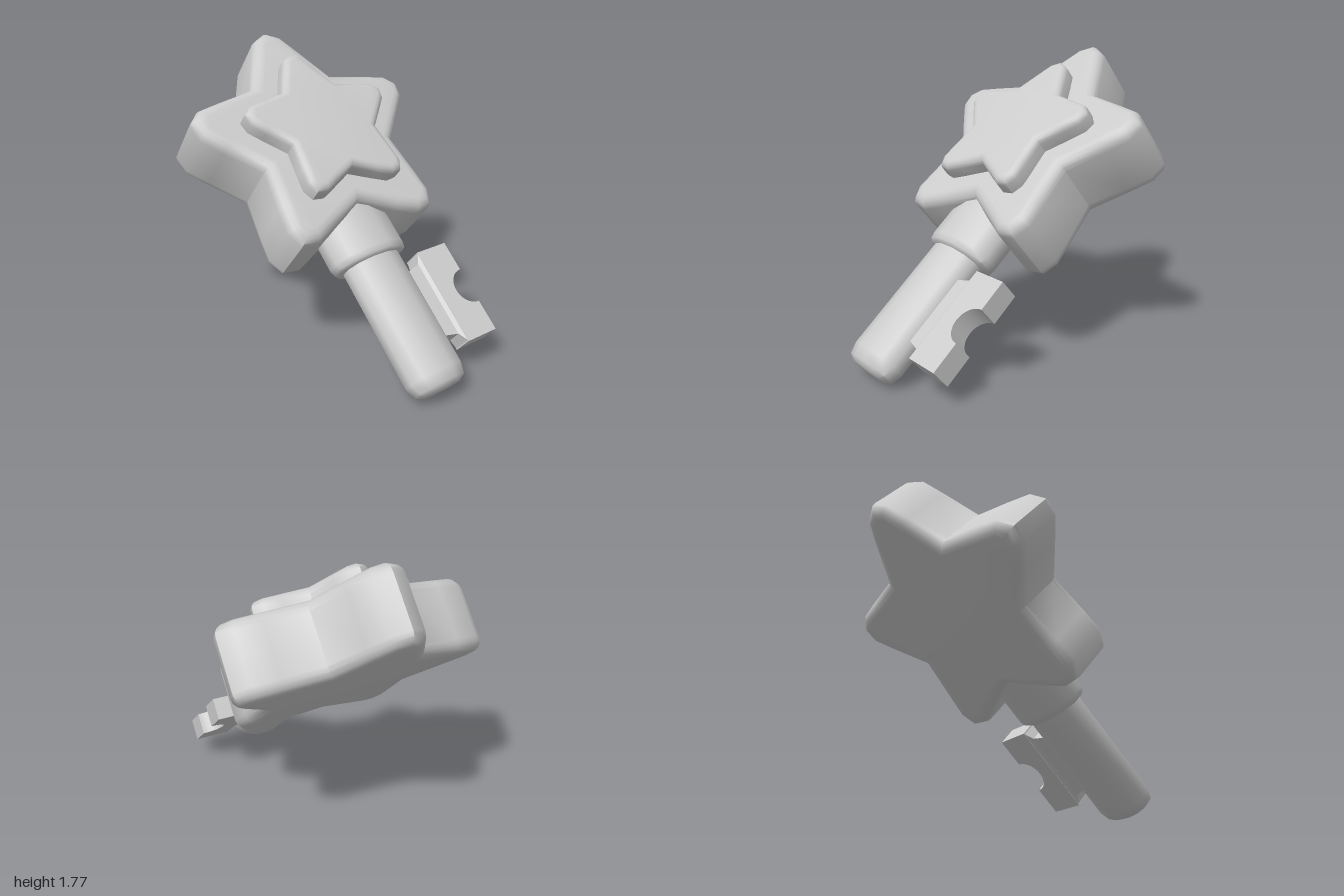
import * as THREE from 'three';
import { toCreasedNormals } from 'three/addons/utils/BufferGeometryUtils.js';

const MID = 0.665; // depth of the shaft's centre line

export function createModel() {
  const model = new THREE.Group();
  const key = new THREE.Group();
  key.name = 'tiltedKey';
  key.rotation.x = THREE.MathUtils.degToRad(-50);
  model.add(key);
  const material = new THREE.MeshStandardMaterial({ color: 0xcccccc });

  function add(name, geometry, y, z) {
    const mesh = new THREE.Mesh(geometry, material);
    mesh.name = name;
    mesh.position.set(0, y, z);
    key.add(mesh);
  }

  // Rounded five-pointed star outline: one arm repeated around the centre
  function starShape(scale) {
    const arm = [[-0.17, 0.615], [-0.095, 0.745], [0, 0.795], [0.095, 0.745], [0.17, 0.615], [0.288, 0.397]];
    const points = [];
    for (let i = 0; i < 5; i++) {
      for (const [x, y] of arm) {
        points.push(new THREE.Vector2(x, y).multiplyScalar(scale)
          .rotateAround(new THREE.Vector2(), -i * Math.PI * 0.4));
      }
    }
    return new THREE.Shape(points);
  }

  // Star plate with rounded rims, from back to front
  function starPlate(name, scale, back, front, bevel) {
    const geometry = new THREE.ExtrudeGeometry(starShape(scale), {
      depth: front - back - 2 * bevel,
      bevelThickness: bevel, bevelSize: bevel, bevelOffset: -bevel, bevelSegments: 4,
    });
    add(name, toCreasedNormals(geometry, 0.9), 0.957, back + bevel);
  }
  starPlate('starHead', 1, 0.45, 0.89, 0.07);
  starPlate('raisedStar', 0.648, 0.8, 1.0, 0.045);

  // Flattened twelve-sided turned parts
  function turned(name, profile, flatten) {
    const points = profile.map(([r, y]) => new THREE.Vector2(r, y));
    const geometry = new THREE.LatheGeometry(points, 12, Math.PI / 12);
    geometry.scale(1, 1, flatten);
    add(name, toCreasedNormals(geometry, 0.9), 0, MID);
  }
  turned('shaft', [[0, -0.68], [0.125, -0.675], [0.175, -0.65], [0.196, -0.585], [0.196, 0.4], [0, 0.4]], 0.68);
  turned('collar', [[0, 0.145], [0.225, 0.145], [0.25, 0.16], [0.26, 0.195], [0.26, 0.55], [0, 0.55]], 0.66);

  // Bit: a block with a round bite out of its outer edge
  const bit = new THREE.Shape();
  bit.moveTo(0.285, -0.505);
  bit.lineTo(0.51, -0.505);
  bit.lineTo(0.51, -0.315);
  bit.absarc(0.51, -0.205, 0.11, -Math.PI / 2, -Math.PI * 1.5, true);
  bit.lineTo(0.51, 0.094);
  bit.lineTo(0.285, 0.094);
  bit.closePath();
  const bitGeometry = new THREE.ExtrudeGeometry(bit, { depth: 0.136, bevelEnabled: false, curveSegments: 10 });
  add('bit', toCreasedNormals(bitGeometry, 0.6), 0, MID - 0.068);

  // Neck joining bit and shaft: a box shaped by [x, half height, half depth] stations
  const stations = [[0.12, 0.2, 0.045], [0.262, 0.235, 0.05], [0.287, 0.295, 0.067]];
  const neck = new THREE.BoxGeometry(2, 2, 2, 2, 1, 1);
  const pos = neck.attributes.position;
  for (let i = 0; i < pos.count; i++) {
    const [x, h, d] = stations[Math.round(pos.getX(i)) + 1];
    pos.setXYZ(i, x, pos.getY(i) * h, pos.getZ(i) * d);
  }
  add('bitNeck', toCreasedNormals(neck, 0.2), -0.205, MID);

  return model;
}
